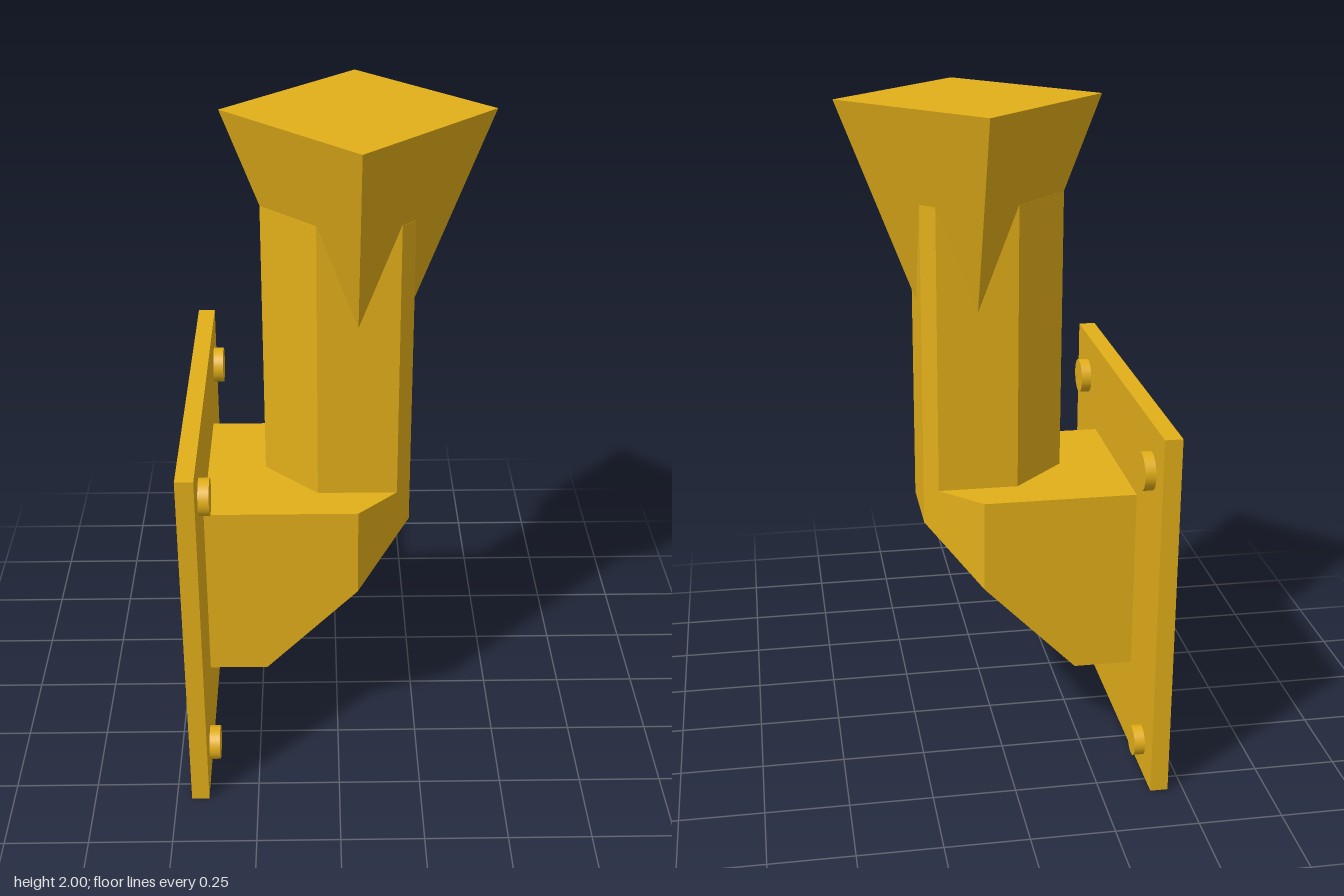
import * as THREE from 'three';

const material = new THREE.MeshStandardMaterial({ color: 0xe2ae19, flatShading: true });
const smooth = new THREE.MeshStandardMaterial({ color: 0xe2ae19 });

function part(name, geometry, x = 0, y = 0, z = 0, mat = material) {
  const mesh = new THREE.Mesh(geometry, mat);
  mesh.name = name;
  mesh.position.set(x, y, z);
  return mesh;
}

// Solid through rectangular sections along x: [x, bottom, top, halfDepth]
function loftAlongX(sections) {
  const points = [];
  const index = [];
  for (const [x, lo, hi, d] of sections) points.push(x, lo, d, x, lo, -d, x, hi, -d, x, hi, d);
  const quad = (a, b, c, d) => index.push(a, b, c, a, c, d);
  const last = (sections.length - 1) * 4;
  for (let i = 0; i < last; i += 4) {
    for (let j = 0; j < 4; j++) {
      const k = (j + 1) % 4;
      quad(i + j, i + k, i + 4 + k, i + 4 + j);
    }
  }
  quad(3, 2, 1, 0);
  quad(last, last + 1, last + 2, last + 3);
  const indexed = new THREE.BufferGeometry();
  indexed.setAttribute('position', new THREE.Float32BufferAttribute(points, 3));
  indexed.setIndex(index);
  const geometry = indexed.toNonIndexed();
  geometry.computeVertexNormals();
  return geometry;
}

export function createModel() {
  const group = new THREE.Group();
  group.name = 'wallBracket';

  // Square mounting plate
  group.add(part('mountingPlate', new THREE.BoxGeometry(0.053, 1.132, 1.132), -0.4275, 0.566, 0));

  // Bolt heads, one near each plate corner: [y, z, radius]
  const bolts = [[0.995, 0.417, 0.055], [0.99, -0.437, 0.057], [0.103, 0.424, 0.052], [0.103, -0.441, 0.045]];
  for (const [y, z, r] of bolts) {
    const head = new THREE.CylinderGeometry(r, r, 0.034, 40).rotateZ(Math.PI / 2);
    group.add(part('boltHead', head, -0.386, y, z, smooth));
  }

  // Arm with a sloping underside and chamfered front corners
  group.add(part('arm', loftAlongX([
    [-0.401, 0.285, 0.85, 0.283],
    [-0.222, 0.285, 0.85, 0.283],
    [0.06, 0.57, 0.85, 0.283],
    [0.222, 0.732, 0.85, 0.121],
  ])));

  // Upright column, wedge-shaped towards the plate
  const outline = new THREE.Shape([
    [-0.222, 0], [-0.06, -0.162], [0.181, -0.162], [0.222, -0.121],
    [0.222, 0.121], [0.181, 0.162], [-0.06, 0.162],
  ].map(([x, y]) => new THREE.Vector2(x, y)));
  const column = new THREE.ExtrudeGeometry(outline, { depth: 0.866, bevelEnabled: false }).rotateX(-Math.PI / 2);
  group.add(part('column', column, 0, 0.85, 0));

  // Flared four-sided head
  group.add(part('flaredHead', new THREE.CylinderGeometry(0.39, 0.161, 0.6, 4), 0.06, 1.7, 0));

  return group;
}
